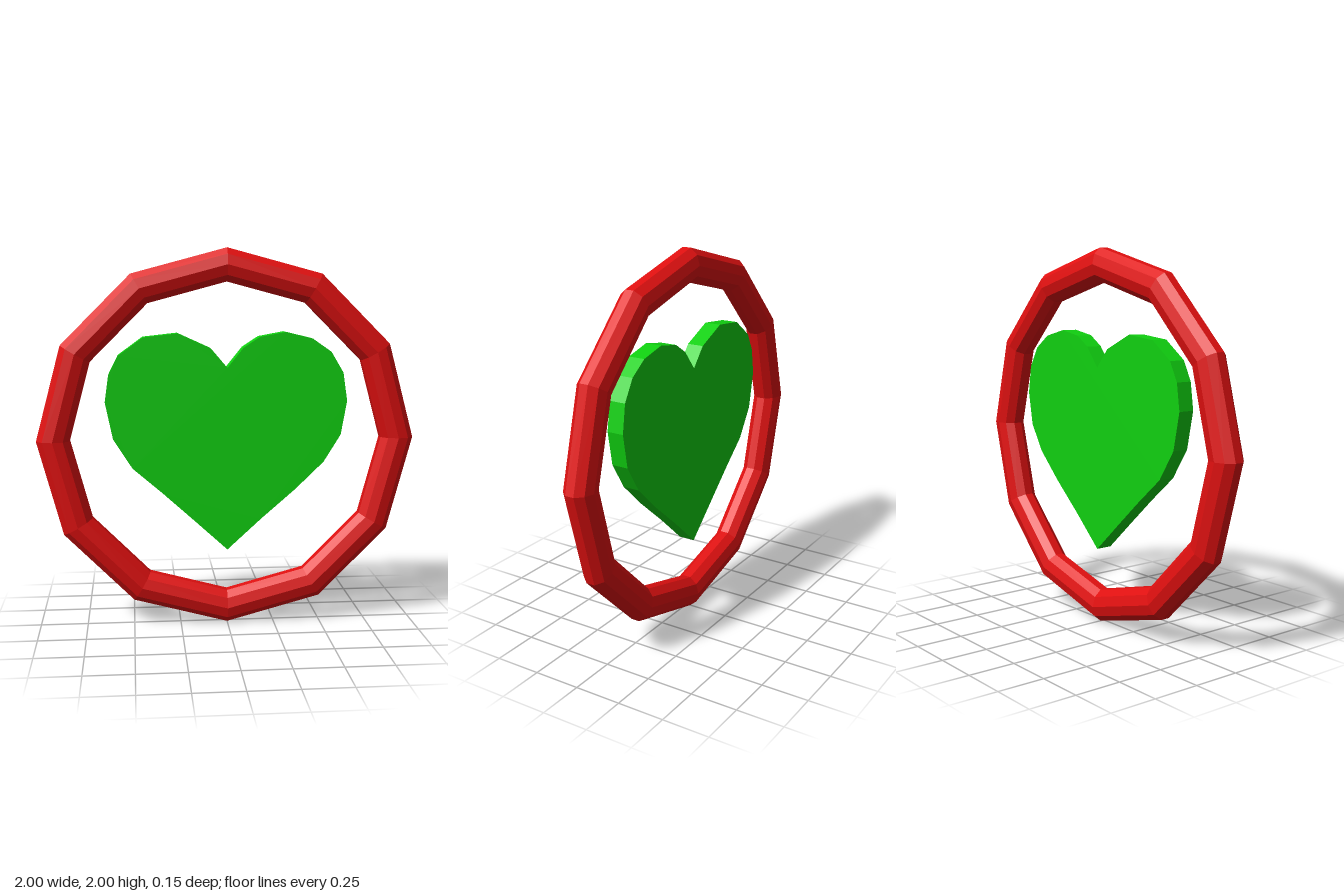
import * as THREE from 'three';

const RING_SEGMENTS = 12;
const TUBE_SIDES = 10;
const TUBE_RADIAL = 0.0915; // tube radius measured across the ring
const TUBE_DEPTH = 0.077;   // tube radius measured front to back
const HEART_DEPTH = 0.09;

function material(color) {
  return new THREE.MeshStandardMaterial({ color, flatShading: true });
}

// Twelve-sided hoop with a ten-sided tube, flat facet on its rim
function createRing() {
  const half = Math.PI / TUBE_SIDES;
  const centre = 1 - TUBE_RADIAL * Math.cos(half);
  const profile = [];
  for (let i = 0; i <= TUBE_SIDES; i++) {
    const a = half + (i / TUBE_SIDES) * Math.PI * 2;
    profile.push(new THREE.Vector2(centre + TUBE_RADIAL * Math.cos(a), TUBE_DEPTH * Math.sin(a)));
  }
  const geometry = new THREE.LatheGeometry(profile, RING_SEGMENTS);
  geometry.rotateX(Math.PI / 2);
  const ring = new THREE.Mesh(geometry, material(0xe01010));
  ring.name = 'ring';
  ring.position.y = 1;
  return ring;
}

// Slightly uneven heart plate floating inside the ring
function createHeart() {
  const outline = [
    [0, 1.38], [-0.085, 1.48], [-0.26, 1.56], [-0.44, 1.54], [-0.57, 1.445], [-0.62, 1.345],
    [-0.64, 1.205], [-0.6, 1.01], [-0.5, 0.853], [-0.34, 0.715], [-0.18, 0.57], [0, 0.405],
    [0.18, 0.57], [0.365, 0.73], [0.515, 0.875], [0.605, 1.02], [0.637, 1.2], [0.615, 1.35],
    [0.55, 1.46], [0.45, 1.53], [0.305, 1.565], [0.17, 1.54], [0.085, 1.485],
  ];
  const shape = new THREE.Shape(outline.map(([x, y]) => new THREE.Vector2(x, y)));
  const geometry = new THREE.ExtrudeGeometry(shape, { depth: HEART_DEPTH, bevelEnabled: false });
  geometry.translate(0, 0, -HEART_DEPTH / 2);
  const heart = new THREE.Mesh(geometry, material(0x10d010));
  heart.name = 'heart';
  return heart;
}

export function createModel() {
  const model = new THREE.Group();
  model.name = 'heartInRing';
  model.add(createRing(), createHeart());
  return model;
}
